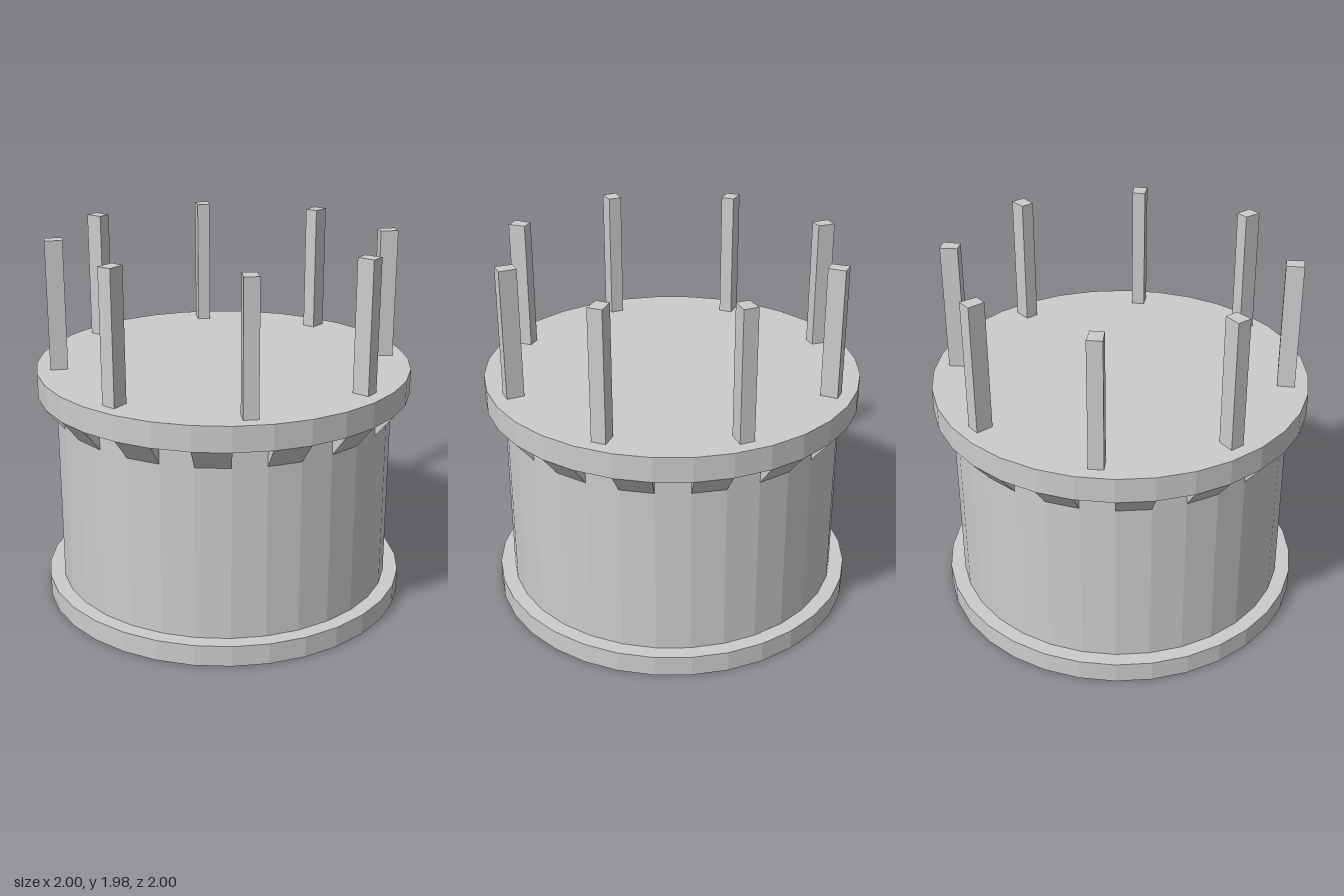
import * as THREE from 'three';
import { ConvexGeometry } from 'three/addons/geometries/ConvexGeometry.js';

const SIDES = 32;
const STEP = (Math.PI * 2) / SIDES;

// Point at a given angle (from +z towards +x), radius and height
const polar = (angle, r, y) => new THREE.Vector3(Math.sin(angle) * r, y, Math.cos(angle) * r);

// Solid made by sweeping a radial [r, y] outline between two angles
function sector(outline, a0, a1) {
  const points = [];
  for (const [r, y] of outline) points.push(polar(a0, r, y), polar(a1, r, y));
  return new ConvexGeometry(points);
}

// Faceted open sheet turned around the y axis, profile listed bottom to top
function turned(profile) {
  const points = profile.map(([r, y]) => new THREE.Vector2(r, y));
  const geometry = new THREE.LatheGeometry(points, SIDES).toNonIndexed();
  geometry.computeVertexNormals();
  return geometry;
}

export function createModel() {
  const model = new THREE.Group();
  model.name = 'drum';
  const grey = new THREE.MeshStandardMaterial({ color: 0xcccccc, side: THREE.DoubleSide, flatShading: true });
  grey.name = 'light grey';

  const add = (name, geometry) => {
    const mesh = new THREE.Mesh(geometry, grey);
    mesh.name = name;
    model.add(mesh);
  };

  // Hollow shell, open at the bottom
  add('baseFlange', turned([[0.983, 0], [0.983, 0.113], [0.904, 0.113]]));
  add('drumWall', turned([[0.904, 0.113], [0.904, 1.158]]));
  add('topPlate', turned([[0.904, 1.158], [1, 1.158], [1, 1.292], [0, 1.292]]));

  // Wedge brackets under the plate, one on every second facet
  for (let i = 0; i < SIDES; i += 2) {
    add('bracket', sector([[0.904, 1.04], [0.904, 1.158], [1, 1.158]], i * STEP, (i + 1) * STEP));
  }

  // Eight tapered posts, each centred on a facet
  const half = 0.042;
  for (let i = 0; i < 8; i++) {
    const a = (i * 4 - 0.5) * STEP;
    add('post', sector([[0.833, 1.292], [0.926, 1.292], [0.926, 1.98], [0.833, 1.98]], a - half, a + half));
  }

  return model;
}
